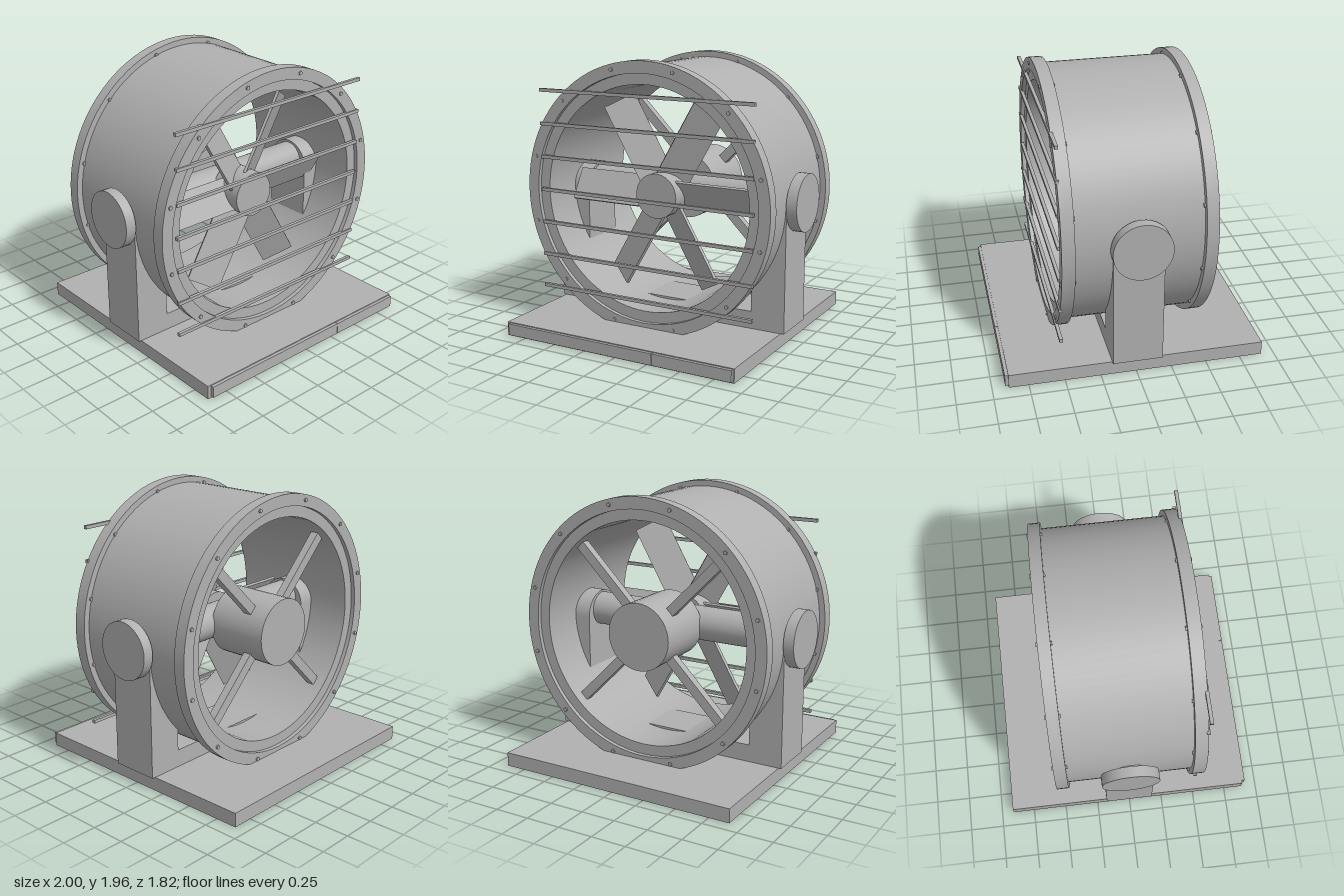
import * as THREE from 'three';
import { toCreasedNormals } from 'three/addons/utils/BufferGeometryUtils.js';

export function createModel() {
  const model = new THREE.Group();
  model.name = 'drumFan';
  const grey = new THREE.MeshStandardMaterial({ color: 0xb0b0b0 });
  grey.name = 'plain grey';
  const CY = 1.003; // height of the fan axis

  function add(name, geometry, x = 0, y = 0, z = 0, parent = model) {
    const mesh = new THREE.Mesh(geometry, grey);
    mesh.name = name;
    mesh.position.set(x, y, z);
    parent.add(mesh);
    return mesh;
  }
  const box = (x0, x1, y0, y1, z0, z1) =>
    new THREE.BoxGeometry(x1 - x0, y1 - y0, z1 - z0)
      .translate((x0 + x1) / 2, (y0 + y1) / 2, (z0 + z1) / 2);
  const cylZ = (r, z0, z1, n = 40) =>
    new THREE.CylinderGeometry(r, r, z1 - z0, n).rotateX(Math.PI / 2).translate(0, 0, (z0 + z1) / 2);
  const cylX = (r, x0, x1) =>
    new THREE.CylinderGeometry(r, r, x1 - x0, 40).rotateZ(Math.PI / 2).translate((x0 + x1) / 2, 0, 0);

  // Ring with a rectangular section, along z
  function ring(outer, inner, z0, z1) {
    const shape = new THREE.Shape().absarc(0, 0, outer, 0, Math.PI * 2);
    shape.holes.push(new THREE.Path().absarc(0, 0, inner, 0, Math.PI * 2, true));
    const g = new THREE.ExtrudeGeometry(shape, { depth: z1 - z0, bevelEnabled: false, curveSegments: 48 });
    return toCreasedNormals(g.translate(0, 0, z0), 0.6);
  }

  // Base slab with two thin front strips
  add('base', box(-0.9, 0.895, 0, 0.1, -0.91, 0.887));
  add('baseFrontStrip', box(-0.875, 0.298, 0.012, 0.094, 0.887, 0.91));
  add('baseFrontStrip', box(0.302, 0.885, 0.012, 0.094, 0.887, 0.91));

  // Drum and its two flanges
  add('drum', ring(0.915, 0.795, -0.5, 0.485), 0, CY);
  add('frontFlange', ring(0.957, 0.872, 0.425, 0.515), 0, CY);
  add('backFlange', ring(0.957, 0.872, -0.53, -0.445), 0, CY);

  // Twelve bolts through each flange
  for (let i = 0; i < 12; i++) {
    const a = Math.PI / 12 + i * Math.PI / 6;
    const x = 0.918 * Math.cos(a), y = CY + 0.918 * Math.sin(a);
    add('frontBolt', cylZ(0.014, 0.415, 0.523, 10), x, y);
    add('backBolt', cylZ(0.014, -0.54, -0.435, 10), x, y);
  }

  // U-shaped bracket: cross foot and two round-topped uprights with pivot discs
  add('bracketFoot', box(-0.67, 0.67, 0.1, 0.225, -0.18, 0.17));
  const upright = new THREE.Shape();
  upright.moveTo(-0.175, 0.1);
  upright.lineTo(0.175, 0.1);
  upright.lineTo(0.175, 0.965);
  upright.absarc(0, 0.965, 0.175, 0, Math.PI);
  upright.closePath();
  for (const s of [-1, 1]) {
    const g = new THREE.ExtrudeGeometry(upright, { depth: 0.25, bevelEnabled: false, curveSegments: 20 });
    g.translate(0, 0, -0.125).rotateY(Math.PI / 2);
    add('bracketUpright', toCreasedNormals(g, 0.6), s * 0.795, 0, -0.005);
    add('pivotDisc', cylX(0.203, -0.038, 0.038), s * 0.962, 1, -0.012);
  }
  add('crossAxle', cylX(0.122, -0.93, 0.93), 0, CY, -0.005);

  // Motor and four diagonal struts
  add('motor', cylZ(0.24, -0.555, -0.1), 0, CY);
  for (let i = 0; i < 4; i++) {
    const strut = add('motorStrut', box(0.2, 0.8, -0.035, 0.035, -0.42, -0.36), 0, CY);
    strut.rotation.z = Math.PI / 4 + i * Math.PI / 2;
  }

  // Rotor: hub, shaft and six pitched blades
  const rotor = new THREE.Group();
  rotor.name = 'rotor';
  rotor.position.y = CY;
  model.add(rotor);
  add('hub', cylZ(0.16, 0.08, 0.33), 0, 0, 0, rotor);
  add('shaft', cylZ(0.06, -0.12, 0.1, 24), 0, 0, 0, rotor);
  for (let i = 0; i < 6; i++) {
    const g = box(0.1, 0.737, -0.12, 0.12, -0.01, 0.01).rotateX(Math.PI / 6).translate(0, 0, 0.205);
    add('blade', g, 0, 0, 0, rotor).rotation.z = i * Math.PI / 3;
  }

  // Horizontal guard bars across the front
  for (let i = 0; i < 7; i++) {
    add('guardBar', box(-0.838, 0.838, -0.012, 0.012, 0.5, 0.524), 0, CY + (i - 3) * 0.239);
  }
  return model;
}
